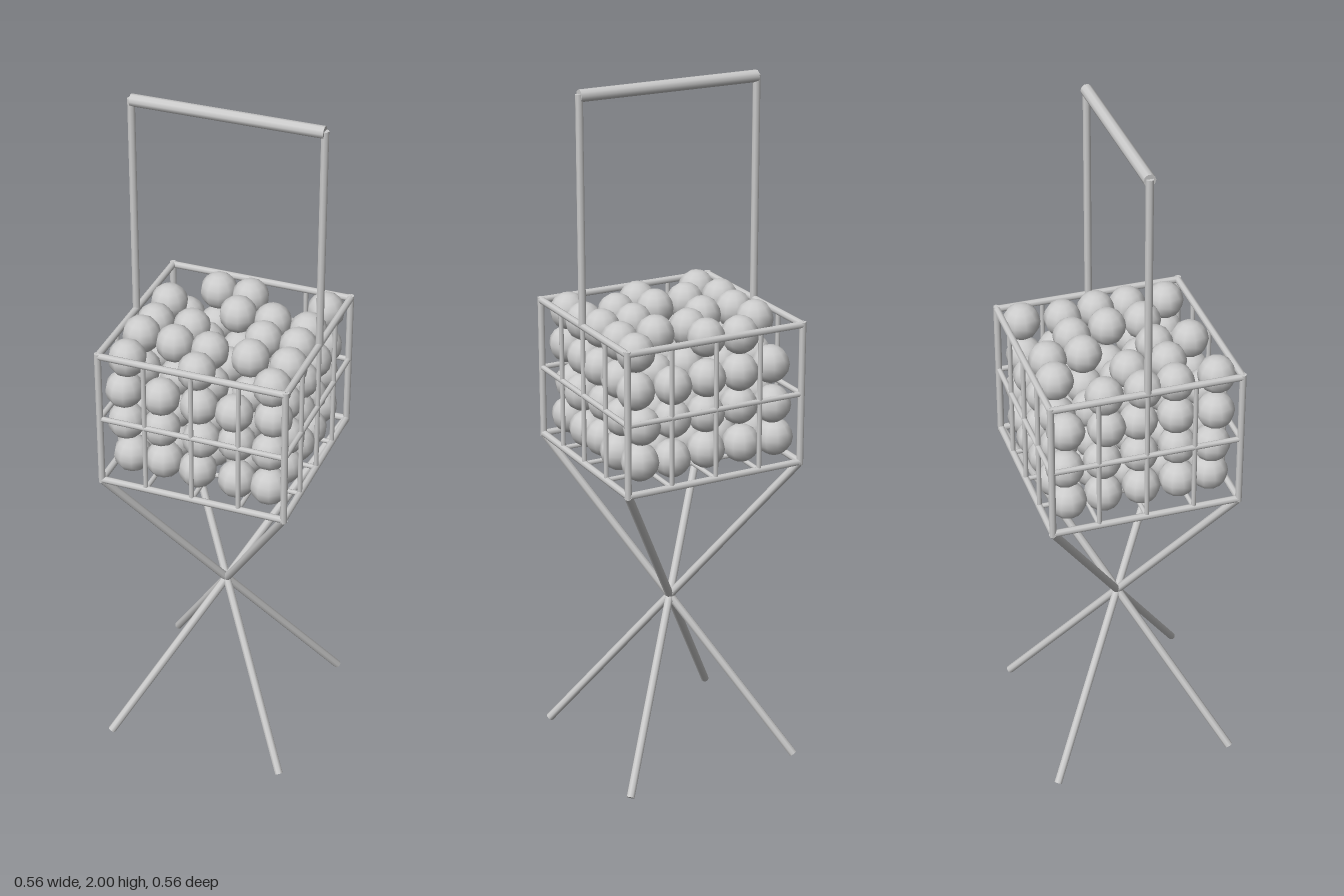
import * as THREE from 'three';

const H = 0.27;                    // basket half width
const Y0 = 0.94, YM = 1.143, Y1 = 1.345;
const material = new THREE.MeshStandardMaterial({ color: 0xcccccc });
const UP = new THREE.Vector3(0, 1, 0);

// Round bar between two points
function bar(parent, name, a, b, radius, sides = 8) {
  const p = new THREE.Vector3(...a), q = new THREE.Vector3(...b);
  const dir = q.clone().sub(p);
  const mesh = new THREE.Mesh(new THREE.CylinderGeometry(radius, radius, dir.length(), sides), material);
  mesh.position.copy(p).add(q).multiplyScalar(0.5);
  mesh.quaternion.setFromUnitVectors(UP, dir.normalize());
  mesh.name = name;
  parent.add(mesh);
}

function seeded(seed) {
  return () => (seed = (seed * 16807) % 2147483647) / 2147483647;
}

function createBasket() {
  const basket = new THREE.Group();
  basket.name = 'basket';
  const inner = [-0.137, 0, 0.137];

  // Horizontal rails on all four sides
  for (const [y, r] of [[Y0, 0.01], [YM, 0.008], [Y1, 0.01]]) {
    for (const s of [-H, H]) {
      bar(basket, 'rail', [-H, y, s], [H, y, s], r);
      bar(basket, 'rail', [s, y, -H], [s, y, H], r);
    }
  }
  for (const s of [-H, H]) {
    // Corner posts
    for (const t of [-H, H]) bar(basket, 'cornerPost', [s, Y0 - 0.008, t], [s, Y1 + 0.008, t], 0.01);
    // Upright wires
    for (const t of inner) {
      bar(basket, 'uprightWire', [t, Y0, s], [t, Y1, s], 0.007);
      bar(basket, 'uprightWire', [s, Y0, t], [s, Y1, t], 0.007);
    }
  }
  // Floor wires
  for (const t of inner) {
    bar(basket, 'floorWire', [t, Y0, -H], [t, Y0, H], 0.007);
    bar(basket, 'floorWire', [-H, Y0, t], [H, Y0, t], 0.007);
  }
  return basket;
}

function createBalls() {
  const balls = new THREE.Group();
  balls.name = 'balls';
  const geometry = new THREE.SphereGeometry(0.054, 10, 8);
  const random = seeded(4217);
  const jitter = (amount) => (random() - 0.5) * 2 * amount;
  const step = 0.105;
  // Gaps in the top layer, as column,row
  const gaps = ['0,0', '3,0', '1,1', '1,4', '3,4', '2,2'];

  for (let layer = 0; layer < 4; layer++) {
    for (let row = 0; row < 5; row++) {
      for (let col = 0; col < 5; col++) {
        const dx = jitter(0.009), dy = jitter(0.006), dz = jitter(0.009);
        if (layer === 3 && gaps.includes(`${col},${row}`)) continue;
        const ball = new THREE.Mesh(geometry, material);
        ball.name = 'ball';
        ball.position.set((col - 2) * step + dx, 1.005 + layer * 0.107 + dy, (row - 2) * step + dz);
        balls.add(ball);
      }
    }
  }
  return balls;
}

function createHandle() {
  const handle = new THREE.Group();
  handle.name = 'handle';
  for (const s of [-H, H]) bar(handle, 'handlePost', [s, Y1, 0], [s, 1.987, 0], 0.011);
  bar(handle, 'handleGrip', [-H, 1.983, 0], [H, 1.983, 0], 0.017, 10);
  return handle;
}

function createLegs() {
  const legs = new THREE.Group();
  legs.name = 'legs';
  // Each leg runs from a floor corner through the centre to the opposite basket corner
  for (const sx of [-1, 1]) {
    for (const sz of [-1, 1]) {
      bar(legs, 'leg', [sx * H, 0.009, sz * H], [-sx * H, Y0, -sz * H], 0.012);
    }
  }
  return legs;
}

export function createModel() {
  const model = new THREE.Group();
  model.name = 'ballBasketStand';
  model.add(createLegs(), createBasket(), createBalls(), createHandle());
  return model;
}
